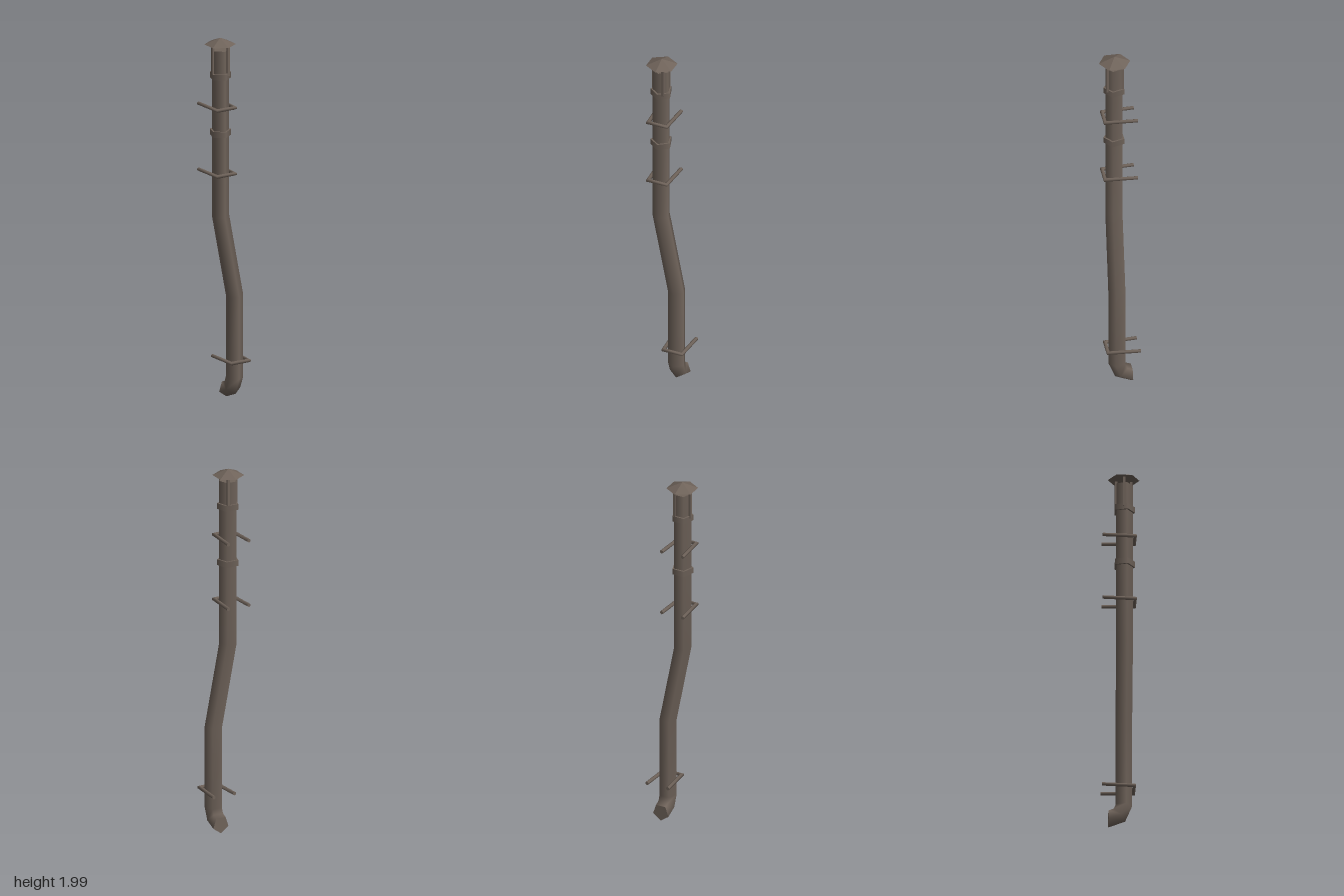
import * as THREE from 'three';

const metal = new THREE.MeshStandardMaterial({ color: 0x6f635a });
metal.name = 'weathered brown metal';

const TOP_X = -0.0435, LOW_X = 0.0435, PIPE_Z = 0.0135, PIPE_R = 0.0475;

// Sweeps a capped tube through rings given from top to bottom: [x, y, z, rotX, rotZ, stretchX]
function ringTube(rings, radius, sides) {
  const n = rings.length - 1;
  const geo = new THREE.CylinderGeometry(radius, radius, n, sides, n);
  const pos = geo.attributes.position, nor = geo.attributes.normal;
  const v = new THREE.Vector3(), e = new THREE.Euler();
  for (let i = 0; i < pos.count; i++) {
    const [x, y, z, rx = 0, rz = 0, sx = 1] = rings[Math.round(n / 2 - pos.getY(i))];
    e.set(rx, 0, rz);
    v.set(pos.getX(i) * sx, 0, pos.getZ(i)).applyEuler(e);
    pos.setXYZ(i, x + v.x, y + v.y, z + v.z);
    v.fromBufferAttribute(nor, i).applyEuler(e);
    nor.setXYZ(i, v.x, v.y, v.z);
  }
  return geo;
}

export function createModel() {
  const group = new THREE.Group();
  const add = (name, geo, x = 0, y = 0, z = 0) => {
    const m = new THREE.Mesh(geo, metal);
    m.name = name;
    m.position.set(x, y, z);
    group.add(m);
    return m;
  };

  // Five-sided pipe: straight top, sideways offset, straight run, then an elbow to the back
  const bend = 0.0765, bendY = 0.132, kink = 0.1;
  const rings = [
    [TOP_X, 1.936, PIPE_Z],
    [TOP_X, 1.03, PIPE_Z, 0, kink],
    [LOW_X, 0.58, PIPE_Z, 0, kink],
  ];
  for (let i = 0; i <= 2; i++) {
    const a = i * Math.PI / 4;
    rings.push([LOW_X, bendY - bend * Math.sin(a), PIPE_Z - bend * (1 - Math.cos(a)), a]);
  }
  add('pipe', ringTube(rings, PIPE_R, 5));

  // Joint collars
  for (const y of [1.796, 1.483]) {
    add('collar', new THREE.CylinderGeometry(0.058, 0.058, 0.032, 5), TOP_X, y, PIPE_Z);
  }

  // Rain cap on three thin struts
  const cap = new THREE.ConeGeometry(0.083, 0.035, 6).toNonIndexed();
  cap.computeVertexNormals();
  add('rainCap', cap, TOP_X, 1.9825, 0.012);
  for (let i = 0; i < 3; i++) {
    const a = Math.PI / 3 + i * Math.PI * 2 / 3;
    add('capStrut', new THREE.BoxGeometry(0.013, 0.17, 0.013),
      TOP_X + Math.cos(a) * 0.046, 1.885, PIPE_Z + Math.sin(a) * 0.046);
  }

  // U-shaped wall brackets with splayed legs and mitred corners
  const q = Math.PI / 2, m = Math.PI / 4;
  for (const [x, y] of [[TOP_X, 1.624], [TOP_X, 1.264], [LOW_X, 0.23]]) {
    const bracket = ringTube([
      [-0.0615, 0.1, 0],
      [-0.052, -0.07, 0, 0, m, 1.38],
      [0.052, -0.07, 0, 0, q + m, 1.38],
      [0.0615, 0.1, 0, 0, Math.PI],
    ], 0.01, 6);
    add('wallBracket', bracket, x, y, 0).rotation.x = -q;
  }
  return group;
}
